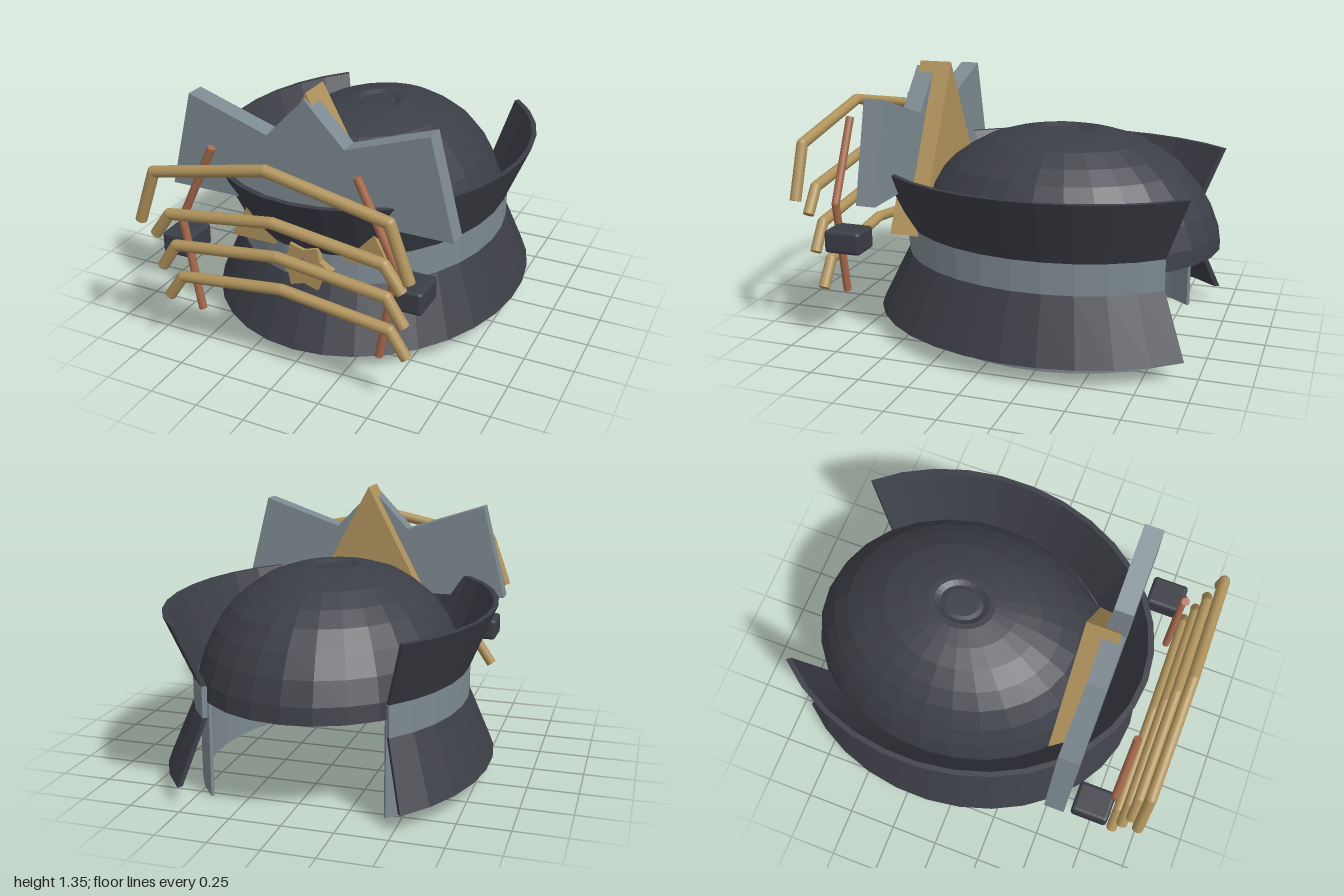
import * as THREE from 'three';
import { RoundedBoxGeometry } from 'three/addons/geometries/RoundedBoxGeometry.js';

const mat = (color, flatShading = true) =>
  new THREE.MeshStandardMaterial({ color, flatShading, side: THREE.DoubleSide });
const dark = mat(0x3c3e46), steel = mat(0x7d8a91), gold = mat(0xb0935c);
const goldRod = mat(0xb0935c, false), copper = mat(0xa6694b, false), purple = mat(0x7d4f8f);

const v2 = (pts) => pts.map(([x, y]) => new THREE.Vector2(x, y));

function add(parent, name, geometry, material, x = 0, y = 0, z = 0) {
  const m = new THREE.Mesh(geometry, material);
  m.name = name;
  m.position.set(x, y, z);
  parent.add(m);
  return m;
}

// Wall swept round the bowl, left open at the back, with capped ends
function wall(parent, name, pts, material) {
  const half = 2.42, g = new THREE.Group();
  g.name = name;
  const profile = v2(pts);
  add(g, name + 'Shell', new THREE.LatheGeometry([...profile, profile[0]], 26, -half, half * 2), material);
  for (const phi of [-half, half]) {
    const cap = new THREE.ShapeGeometry(new THREE.Shape(profile));
    add(g, name + 'End', cap.rotateY(phi - Math.PI / 2), material);
  }
  parent.add(g);
}

// Flat plate of even depth, from z0 to z1
function plate(parent, name, pts, z0, z1, material) {
  const geo = new THREE.ExtrudeGeometry(new THREE.Shape(v2(pts)), { depth: z1 - z0, bevelEnabled: false });
  return add(parent, name, geo, material, 0, 0, z0);
}

// Bent rod: straight cylinders with round joints
function rod(parent, name, pts, z, radius, material) {
  const g = new THREE.Group();
  g.name = name;
  const p = pts.map(([x, y]) => new THREE.Vector3(x, y, z));
  for (let i = 0; i < p.length - 1; i++) {
    const d = p[i + 1].clone().sub(p[i]);
    const s = add(g, name + 'Segment', new THREE.CylinderGeometry(radius, radius, d.length(), 14), material);
    s.position.copy(p[i]).addScaledVector(d, 0.5);
    s.quaternion.setFromUnitVectors(new THREE.Vector3(0, 1, 0), d.normalize());
    if (i > 0) add(g, name + 'Joint', new THREE.SphereGeometry(radius, 14, 10), material, p[i].x, p[i].y, z);
  }
  parent.add(g);
}

export function createModel() {
  const model = new THREE.Group();
  model.name = 'helmet';

  // Oval bowl: dome, flared guards, waist band and neck ring
  const bowl = new THREE.Group();
  bowl.name = 'bowl';
  bowl.position.z = -0.2;
  bowl.scale.z = 1.21;
  model.add(bowl);

  const domeProfile = v2([
    [0.66, 0.48], [0.65, 0.56], [0.615, 0.67], [0.565, 0.77], [0.495, 0.865], [0.42, 0.93],
    [0.33, 0.99], [0.23, 1.025], [0.14, 1.045], [0.115, 1.045], [0.09, 1.03], [0.07, 1.035], [0, 1.035],
  ]);
  add(bowl, 'dome', new THREE.LatheGeometry(domeProfile, 28), dark);
  const t = 0.025;
  wall(bowl, 'lowerGuard', [[0.81, 0.09], [0.68, 0.4], [0.68 - t, 0.4], [0.81 - t, 0.09]], dark);
  wall(bowl, 'waistBand', [[0.68, 0.4], [0.68, 0.555], [0.68 - t, 0.555], [0.68 - t, 0.4]], steel);
  wall(bowl, 'upperGuard', [[0.68, 0.555], [0.81, 0.87], [0.81 - t, 0.87], [0.68 - t, 0.555]], dark);
  wall(bowl, 'neckRing', [[0.65, 0], [0.65, 0.5], [0.635, 0.5], [0.635, 0]], steel);

  // Brow crest with three peaks and the triangular fin behind it
  plate(model, 'crest', [
    [-0.74, 0.76], [0.74, 0.76], [0.615, 1.25], [0.2, 1.11], [0, 1.32], [-0.2, 1.11], [-0.615, 1.25],
  ], 0.51, 0.61, steel);
  plate(model, 'fin', [[-0.43, 0.53], [0.43, 0.53], [0, 1.345]], 0.42, 0.59, gold);

  // Six-pointed badge with a gem
  const star = [];
  for (let i = 0; i < 12; i++) {
    const a = (i * Math.PI) / 6, r = i % 2 ? 0.1 : 0.145;
    star.push([r * Math.cos(a), 0.48 + 0.9 * r * Math.sin(a)]);
  }
  plate(model, 'badge', star, 0.6, 0.65, gold);
  add(model, 'gem', new THREE.OctahedronGeometry(1), purple, 0, 0.485, 0.645).scale.set(0.032, 0.06, 0.03);

  // Face grille: hinge blocks, copper uprights and four bent bars
  for (const s of [-1, 1]) {
    add(model, 'hingeBlock', new RoundedBoxGeometry(0.16, 0.115, 0.19, 2, 0.018), dark, s * 0.6, 0.54, 0.732);
    rod(model, 'upright', [[s * 0.365, 1.1], [s * 0.555, 0.7], [s * 0.475, 0.22]], 0.82, 0.02, copper);
  }
  const bars = [
    // z, centre y, elbow x, elbow y, end x, end y
    [0.97, 1.12, 0.585, 1.0, 0.68, 0.735],
    [0.932, 0.85, 0.545, 0.775, 0.63, 0.655],
    [0.902, 0.662, 0.545, 0.595, 0.63, 0.465],
    [0.866, 0.472, 0.545, 0.405, 0.63, 0.28],
  ];
  for (const [z, cy, ex, ey, tx, ty] of bars) {
    rod(model, 'grilleBar', [[-tx, ty], [-ex, ey], [0, cy], [ex, ey], [tx, ty]], z, 0.028, goldRod);
  }
  return model;
}
